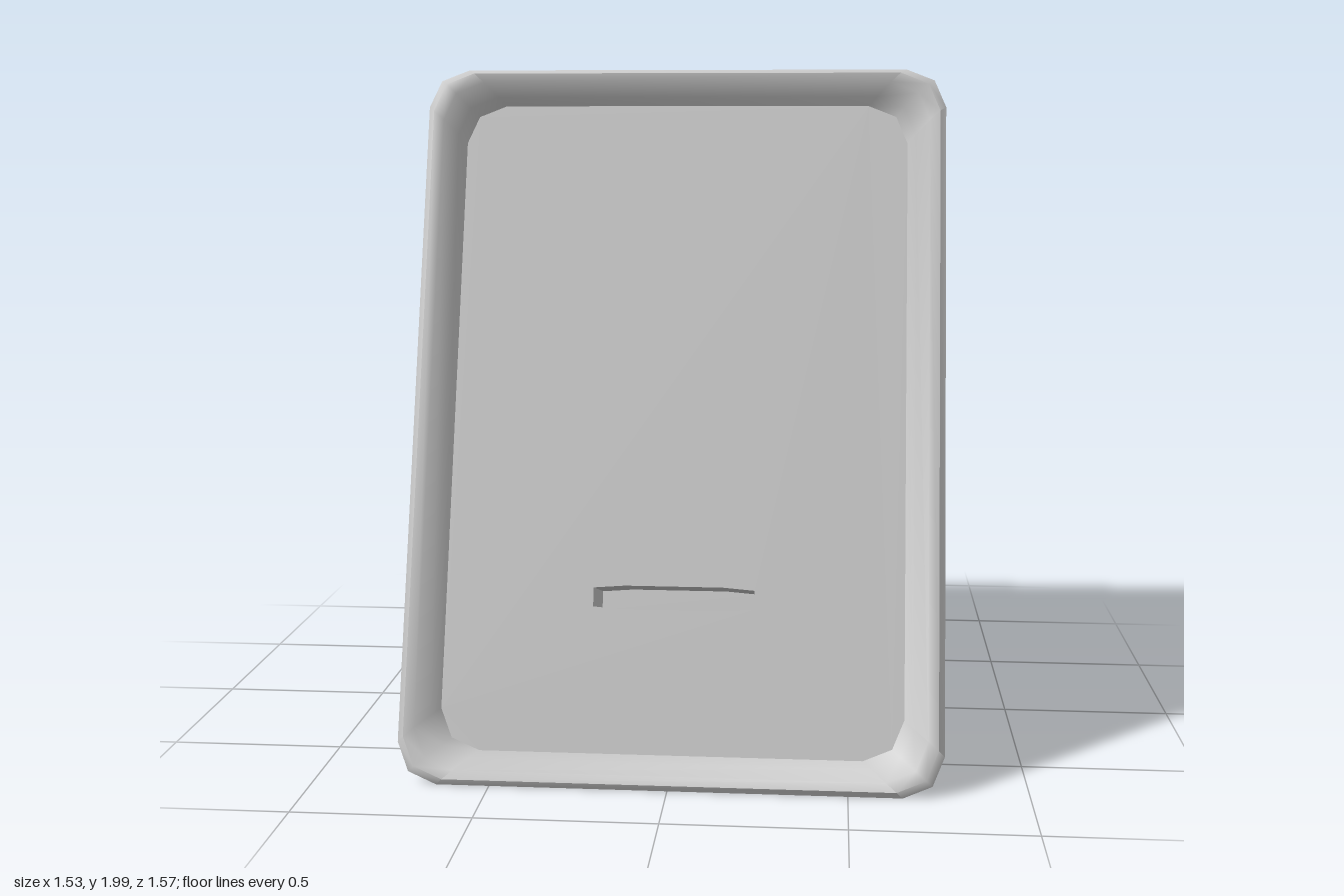
import * as THREE from 'three';
import { toCreasedNormals } from 'three/addons/utils/BufferGeometryUtils.js';

const TILT = 0.316, LENGTH = 2.09, BASE_Y = 0.01, BASE_Z = 0.785;
const material = new THREE.MeshStandardMaterial({ color: 0xcccccc });

// Mesh from a list of polygons (fan triangulated), smooth below the crease angle
function polygonMesh(name, polygons, crease = 0.6) {
  const pos = [];
  for (const p of polygons)
    for (let i = 1; i < p.length - 1; i++) pos.push(...p[0], ...p[i], ...p[i + 1]);
  const geo = new THREE.BufferGeometry();
  geo.setAttribute('position', new THREE.Float32BufferAttribute(pos, 3));
  geo.computeVertexNormals();
  const mesh = new THREE.Mesh(toCreasedNormals(geo, crease), material);
  mesh.name = name;
  return mesh;
}

const flip = ([x, y, z]) => [-x, y, z];
const mirrored = (polys) => polys.map((p) => p.map(flip).reverse());
const across = (a, b) => [a, b, flip(b), flip(a)]; // strip spanning both sides
const lerp = (a, b, t) => a.map((v, i) => v + (b[i] - v) * t);

// Quads joining successive closed loops
function loft(loops) {
  const faces = [];
  for (let k = 0; k < loops.length - 1; k++) {
    const o = loops[k], n = loops[k + 1];
    o.forEach((p, i) => {
      const j = (i + 1) % o.length;
      faces.push([p, o[j], n[j], n[i]]);
    });
  }
  return faces;
}

// Border, step and sunken floor inside a polygon
function recess(outer, inner, offset) {
  const low = inner.map((p) => p.map((v, i) => v + offset[i]));
  return [...loft([outer, inner, low]), low];
}

// Rounded rectangle in the tilted front plane, counterclockwise
function roundRect(inset, depth, r = 0.115) {
  const w = 0.765 - inset * 1.15, lo = inset, hi = LENGTH - inset, pts = [];
  [[w - r, lo + r, -90], [w - r, hi - r, 0], [r - w, hi - r, 90], [r - w, lo + r, 180]]
    .forEach(([cx, cy, start]) => {
      for (let k = 0; k < 3; k++) {
        const a = THREE.MathUtils.degToRad(start + k * 45);
        pts.push([cx + r * Math.cos(a), cy + r * Math.sin(a), -depth]);
      }
    });
  return pts;
}

// Front plane coordinates to model coordinates
const toModel = ([u, v, w]) => [
  u,
  BASE_Y + v * Math.cos(TILT) + w * Math.sin(TILT),
  BASE_Z - v * Math.sin(TILT) + w * Math.cos(TILT),
];

function createFront() {
  const front = new THREE.Group();
  front.name = 'front';
  front.position.set(0, BASE_Y, BASE_Z);
  front.rotation.x = -TILT;

  // Rolled rim around the front plate
  const profile = [[0, 0.015], [0.015, 0], [0.04, 0.008], [0.075, 0.04], [0.095, 0.065]];
  const loops = profile.map(([m, d]) => roundRect(m, d));
  front.add(polygonMesh('rim', loft(loops), 0.9));

  // Sunken plate with a slot
  const slot = [[-0.23, -0.027], [-0.14, -0.034], [0.14, -0.034], [0.23, -0.027],
    [0.23, 0.027], [0.14, 0.034], [-0.14, 0.034], [-0.23, 0.027]]
    .map(([x, y]) => [x, y + 0.534]);
  const v2 = (pts) => pts.map(([x, y]) => new THREE.Vector2(x, y));
  const shape = new THREE.Shape(v2(loops[4]));
  shape.holes.push(new THREE.Path(v2(slot)));
  const plate = new THREE.Mesh(new THREE.ShapeGeometry(shape), material);
  plate.name = 'frontPlate';
  plate.position.z = -0.065;
  front.add(plate);

  // Pocket behind the slot
  const at = (w) => slot.map(([x, y]) => [x, y, w]);
  front.add(polygonMesh('slotPocket', [...loft([at(-0.065), at(-0.28)]), at(-0.28)]));
  return front;
}

function createHousing() {
  const housing = new THREE.Group();
  housing.name = 'housing';

  // Rim edge on the left half: bottom (b) and top (a) corners
  const [b0, b1, b2, a2, a1, a0] = roundRect(0, 0.015).slice(0, 6).map(toModel);

  // Body corners
  const neck = [0.71, 1.95, 0.08];
  const topFront = [0.69, 1.945, 0.03], topBack = [0.56, 1.84, -0.79];
  const backLow = [0.56, 0.96, -0.79], knee = [0.69, 0.86, -0.42];
  const heel = [0.70, 0.31, -0.05], toe = [0.64, 0.22, 0.45], toeSide = [0.725, 0.27, 0.44];

  // Side panel outline, which fades out towards the rim at both ends
  const fadeTop = [0.715, 1.78, 0.1], notch = [0.687, 1.77, 0.03];
  const fadeLow = [0.735, 0.37, 0.43];
  const outer = [topFront, topBack, backLow, knee, heel];
  const inner = [[0.68, 1.84, -0.03], [0.575, 1.77, -0.7], [0.575, 1.03, -0.7],
    [0.685, 0.97, -0.38], [0.70, 0.49, -0.05]];
  const sink = ([x, y, z]) => [x - 0.025, y, z];
  const [A, B, C, D, E] = inner.map(sink), P = sink(notch);

  // Frame and step around the side panel
  const frame = [
    [neck, fadeTop, notch, topFront], [topFront, notch, inner[0]],
    [fadeTop, P, notch], [notch, P, A, inner[0]], [inner[4], E, fadeLow],
  ];
  for (let i = 0; i < 4; i++) {
    frame.push([outer[i], inner[i], inner[i + 1], outer[i + 1]]);
    frame.push([inner[i], sink(inner[i]), sink(inner[i + 1]), inner[i + 1]]);
  }
  // Panel facets
  const panel = [
    [a2, b2, fadeLow], [a2, fadeLow, P], [a2, P, fadeTop], [P, fadeLow, E],
    [P, E, D], [P, D, A], [A, D, B], [D, C, B],
  ];
  // Flared corners between the rim and the body
  const flare = [
    [a0, a1, neck], [a1, a2, fadeTop, neck],
    [fadeLow, b2, b1, toeSide], [toeSide, b1, b0, toe],
    [inner[4], fadeLow, toeSide, heel], [heel, toeSide, toe],
  ];
  const side = [...frame, ...panel, ...flare];
  housing.add(polygonMesh('leftSide', side), polygonMesh('rightSide', mirrored(side)));

  // Top with its sunken panel
  const tf = [0.575, 1.942, 0.01], tb = [0.49, 1.852, -0.7];
  housing.add(polygonMesh('top', [
    across(a0, neck), across(neck, topFront),
    ...recess(across(topFront, topBack), across(tf, tb), [0, -0.018, 0]),
  ]));

  // Back and underside
  housing.add(polygonMesh('back', [across(topBack, backLow)]));
  const k = lerp(knee, heel, 0.02), h = lerp(knee, heel, 0.98);
  k[0] = h[0] = 0.59;
  housing.add(polygonMesh('underside', [
    across(backLow, knee),
    ...recess(across(knee, heel), across(k, h), [0, 0.011, 0.017]),
    across(heel, toe), across(toe, b0),
  ]));
  return housing;
}

export function createModel() {
  const model = new THREE.Group();
  model.name = 'wedgeHousing';
  model.add(createFront(), createHousing());
  return model;
}
